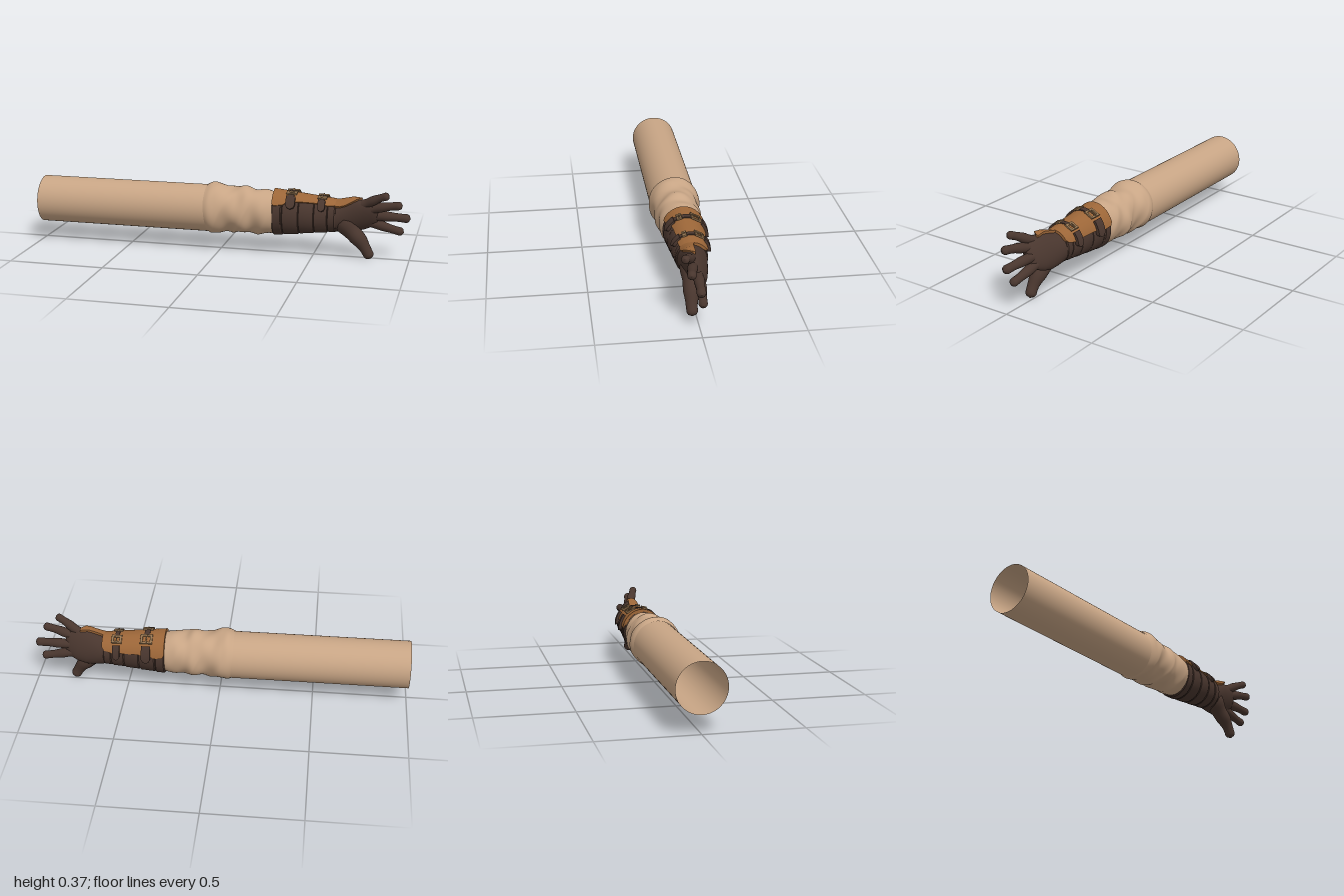
import * as THREE from 'three';
import { toCreasedNormals } from 'three/addons/utils/BufferGeometryUtils.js';

const mat = (name, color, side = THREE.FrontSide) => {
  const m = new THREE.MeshStandardMaterial({ color, side });
  m.name = name;
  return m;
};
const cloth = mat('sleeve cloth', 0xc8a585, THREE.DoubleSide);
const dark = mat('dark leather', 0x49362e);
const tan = mat('tan leather', 0x9c6638);
const metal = mat('aged brass', 0x927350);
const V = (x, y, z) => new THREE.Vector3(x, y, z);
const lerp = THREE.MathUtils.lerp;
const deg = Math.PI / 180;

// Skin closed rings of points, with optional end caps
function loft(name, rings, material, { caps = true, crease = 0 } = {}) {
  const n = rings[0].length, pos = [], idx = [];
  rings.forEach(r => r.forEach(p => pos.push(p.x, p.y, p.z)));
  for (let i = 0; i < rings.length - 1; i++) for (let j = 0; j < n; j++) {
    const a = i * n + j, b = i * n + (j + 1) % n;
    idx.push(a, b, a + n, b, b + n, a + n);
  }
  if (caps) [0, rings.length - 1].forEach(i => {
    const c = rings[i].reduce((s, p) => s.add(p), V(0, 0, 0)).divideScalar(n);
    const k = pos.length / 3;
    pos.push(c.x, c.y, c.z);
    for (let j = 0; j < n; j++) {
      const a = i * n + j, b = i * n + (j + 1) % n;
      if (i === 0) idx.push(k, b, a); else idx.push(k, a, b);
    }
  });
  let g = new THREE.BufferGeometry();
  g.setAttribute('position', new THREE.Float32BufferAttribute(pos, 3));
  g.setIndex(idx);
  if (crease) g = toCreasedNormals(g, crease); else g.computeVertexNormals();
  const m = new THREE.Mesh(g, material);
  m.name = name;
  return m;
}

// Ring around the arm; the angle runs from the top towards the front
const ring = (x, cy, cz, ry, rz, lean = 0, n = 40) => Array.from({ length: n }, (_, j) => {
  const a = j / n * Math.PI * 2, dy = ry * Math.cos(a);
  return V(x, cy + dy, cz + rz * Math.sin(a) + lean * dy);
});

// Stations of x, centre y, centre z, half height, half thickness, lean
const forearm = [[0.28, 0.216, -0.004, 0.118, 0.103, 0], [0.63, 0.216, -0.004, 0.079, 0.074, 0]];
const palm = [
  [0.57, 0.214, -0.004, 0.08, 0.074, 0], [0.62, 0.213, -0.006, 0.08, 0.074, 0.05], [0.66, 0.217, -0.008, 0.086, 0.066, 0.15],
  [0.71, 0.225, -0.008, 0.092, 0.056, 0.25], [0.76, 0.23, -0.005, 0.084, 0.045, 0.32],
  [0.8, 0.234, 0.001, 0.07, 0.034, 0.36], [0.83, 0.236, 0.004, 0.05, 0.02, 0.38],
];
function sectionAt(stations, x) {
  let i = 0;
  while (i < stations.length - 2 && x > stations[i + 1][0]) i++;
  const [p, q] = [stations[i], stations[i + 1]];
  return p.map((v, k) => lerp(v, q[k], (x - p[0]) / (q[0] - p[0])));
}
function pointOn(stations, x, a, lift) {
  const [, cy, cz, ry, rz, lean] = sectionAt(stations, x);
  const dy = (ry + lift) * Math.cos(a);
  return V(x, cy + dy, cz + (rz + lift) * Math.sin(a) + lean * dy);
}

// Curved plate wrapped on a body: strips are [x, front degrees, back degrees]
function wrap(name, body, strips, inner, outer, material, n = 20) {
  const rings = strips.map(([x, front, back]) => {
    const r = [];
    for (let j = 0; j <= n; j++) r.push(pointOn(body, x, lerp(back, front, j / n) * deg, outer));
    for (let j = n; j >= 0; j--) r.push(pointOn(body, x, lerp(back, front, j / n) * deg, inner));
    return r;
  });
  return loft(name, rings, material, { crease: 0.7 });
}

// Finger with a rounded tip along a bent path
function finger(name, points, r0, r1) {
  const curve = new THREE.CatmullRomCurve3(points.map(p => V(...p)));
  const N = 28, f = curve.computeFrenetFrames(N), rings = [];
  const tip = 1 - r1 / curve.getLength();
  for (let i = 0; i <= N; i++) {
    const u = i / N, c = curve.getPointAt(u);
    let r = lerp(r0, r1, Math.min(1, u * 1.15)) * (1 + 0.05 * Math.sin(u * 15));
    if (u > tip) r *= Math.sqrt(Math.max(0.0004, 1 - ((u - tip) / (1 - tip)) ** 2));
    rings.push(Array.from({ length: 16 }, (_, j) => {
      const a = j / 16 * Math.PI * 2;
      return c.clone().addScaledVector(f.normals[i], r * Math.cos(a)).addScaledVector(f.binormals[i], r * Math.sin(a));
    }));
  }
  return loft(name, rings, dark);
}

// Rectangular buckle frame with a prong, facing +y
function buckle(w, d) {
  const rect = (S, a, b) => {
    const s = new S();
    s.moveTo(-a, -b); s.lineTo(a, -b); s.lineTo(a, b); s.lineTo(-a, b); s.closePath();
    return s;
  };
  const shape = rect(THREE.Shape, w, d);
  shape.holes.push(rect(THREE.Path, w - 0.009, d - 0.008));
  const g = new THREE.ExtrudeGeometry(shape, {
    depth: 0.005, bevelEnabled: true, bevelSize: 0.002, bevelThickness: 0.002, bevelSegments: 2,
  });
  g.rotateX(-Math.PI / 2);
  const frame = new THREE.Mesh(g, metal);
  frame.name = 'buckleFrame';
  const prong = new THREE.Mesh(new THREE.BoxGeometry(0.006, 0.005, d * 2), metal);
  prong.name = 'buckleProng';
  prong.position.y = 0.008;
  const out = new THREE.Group();
  out.name = 'buckle';
  out.add(frame, prong);
  return out;
}

export function createModel() {
  const model = new THREE.Group();
  model.name = 'glovedArm';

  // Plain upper sleeve, open at its far end
  model.add(loft('upperSleeve', [-1, -0.5, -0.03].map(x => ring(x, 0.219, 0, 0.125, 0.125, 0, 64)), cloth, { caps: false }));

  // Gathered cuff with diagonal folds
  const profile = new THREE.CatmullRomCurve3([
    [-0.075, 0.123], [-0.045, 0.136], [-0.01, 0.135], [0.04, 0.123], [0.09, 0.121], [0.14, 0.126],
    [0.18, 0.117], [0.23, 0.119], [0.27, 0.113], [0.3, 0.106],
  ].map(([x, r]) => V(x, r, 0)));
  const folds = [];
  for (let i = 0; i <= 70; i++) {
    const { x, y: r } = profile.getPoint(i / 70);
    const fade = Math.sin(Math.PI * Math.min(1, i / 66));
    folds.push(Array.from({ length: 72 }, (_, j) => {
      const a = j / 72 * Math.PI * 2;
      const ridge = 1 - 2 * Math.abs(Math.sin(a * 1.5 + x * 24 + 0.5 * Math.sin(a)));
      const k = r + fade * (0.007 * ridge * Math.sin(a / 2) ** 2 + 0.004 * Math.sin(3 * a - x * 38) + 0.002 * Math.sin(5 * a + x * 60));
      return V(x, 0.222 - 0.022 * x + k * Math.cos(a), k * lerp(1, 0.9, i / 70) * Math.sin(a));
    }));
  }
  model.add(loft('gatheredCuff', folds, cloth, { caps: false }));

  // Glove gauntlet made of overlapping bands
  const bands = [[0.288, 0.34], [0.34, 0.425], [0.425, 0.505], [0.505, 0.575], [0.575, 0.62]];
  const gauntlet = [];
  bands.forEach(([x0, x1]) => [[x0, -0.003], [x0 + 0.005, 0.003], [x1 - 0.007, 0.005], [x1 - 0.001, 0.001]].forEach(([x, d]) => {
    const [, cy, cz, ry, rz] = sectionAt(forearm, x);
    gauntlet.push(ring(x, cy, cz, ry + d, rz + d, 0, 48));
  }));
  model.add(loft('gauntlet', gauntlet, dark, { crease: 0.6 }));

  // Tan bracer plate over the top and back of the forearm
  model.add(wrap('bracerPlate', forearm, [
    [0.288, 58, -70], [0.3, 62, -78], [0.345, 58, -80], [0.37, 48, -74], [0.44, 44, -72],
    [0.52, 42, -72], [0.57, 46, -74], [0.61, 44, -66], [0.625, 36, -54],
  ], 0, 0.011, tan));

  // Two buckled straps with rounded ends
  [[0.385, 0.024, 1], [0.545, 0.019, 0.85]].forEach(([x, h, scale], i) => {
    const strap = new THREE.Group();
    strap.name = i ? 'wristStrap' : 'forearmStrap';
    const ends = [[-1, 10], [-0.7, 4], [0, 0], [0.7, 4], [1, 10]];
    strap.add(wrap('strapFrontTab', forearm, ends.map(([k, e]) => [x + k * h, 68 - e, 32]), 0.004, 0.021, dark));
    strap.add(wrap('strapBackTab', forearm, ends.map(([k, e]) => [x + k * h, -48, -92 + e]), 0.004, 0.024, dark));
    strap.add(wrap('strapTongue', forearm, [[x - h * 0.6, 40, -18], [x + h * 0.6, 40, -18]], 0.009, 0.016, dark));
    [[-28, 0.03, 0.026], [17, 0.026, 0.012]].forEach(([a, w, d]) => {
      const b = buckle(w * scale, d * scale);
      b.position.copy(pointOn(forearm, x, a * deg, 0.014));
      b.rotation.x = a * deg;
      strap.add(b);
    });
    model.add(strap);
  });

  // Palm
  model.add(loft('palm', palm.map(p => ring(...p)), dark));

  // Four spread fingers and the thumb
  [
    ['littleFinger', [[0.72, 0.275, 0.01], [0.78, 0.302, 0.028], [0.83, 0.33, 0.047], [0.892, 0.357, 0.069]], 0.028, 0.02],
    ['ringFinger', [[0.74, 0.25, 0.008], [0.81, 0.272, 0.02], [0.88, 0.29, 0.034], [0.96, 0.303, 0.046]], 0.029, 0.021],
    ['middleFinger', [[0.74, 0.225, -0.003], [0.83, 0.229, -0.004], [0.91, 0.229, 0], [1, 0.225, 0.005]], 0.029, 0.022],
    ['indexFinger', [[0.72, 0.2, -0.012], [0.8, 0.188, -0.018], [0.88, 0.167, -0.014], [0.967, 0.147, -0.008]], 0.03, 0.021],
    ['thumb', [[0.65, 0.195, 0.004], [0.7, 0.14, 0.01], [0.75, 0.09, 0.016], [0.78, 0.045, 0.019], [0.802, 0.003, 0.017]], 0.056, 0.027],
  ].forEach(f => model.add(finger(...f)));

  // Tan pointed flap over the outer edge of the hand
  model.add(wrap('handFlap', palm, [
    [0.615, 44, -8], [0.64, 46, -8], [0.67, 44, -10], [0.7, 36, -14], [0.725, 22, -20], [0.75, -12, -24],
  ], -0.004, 0.013, tan));

  return model;
}
